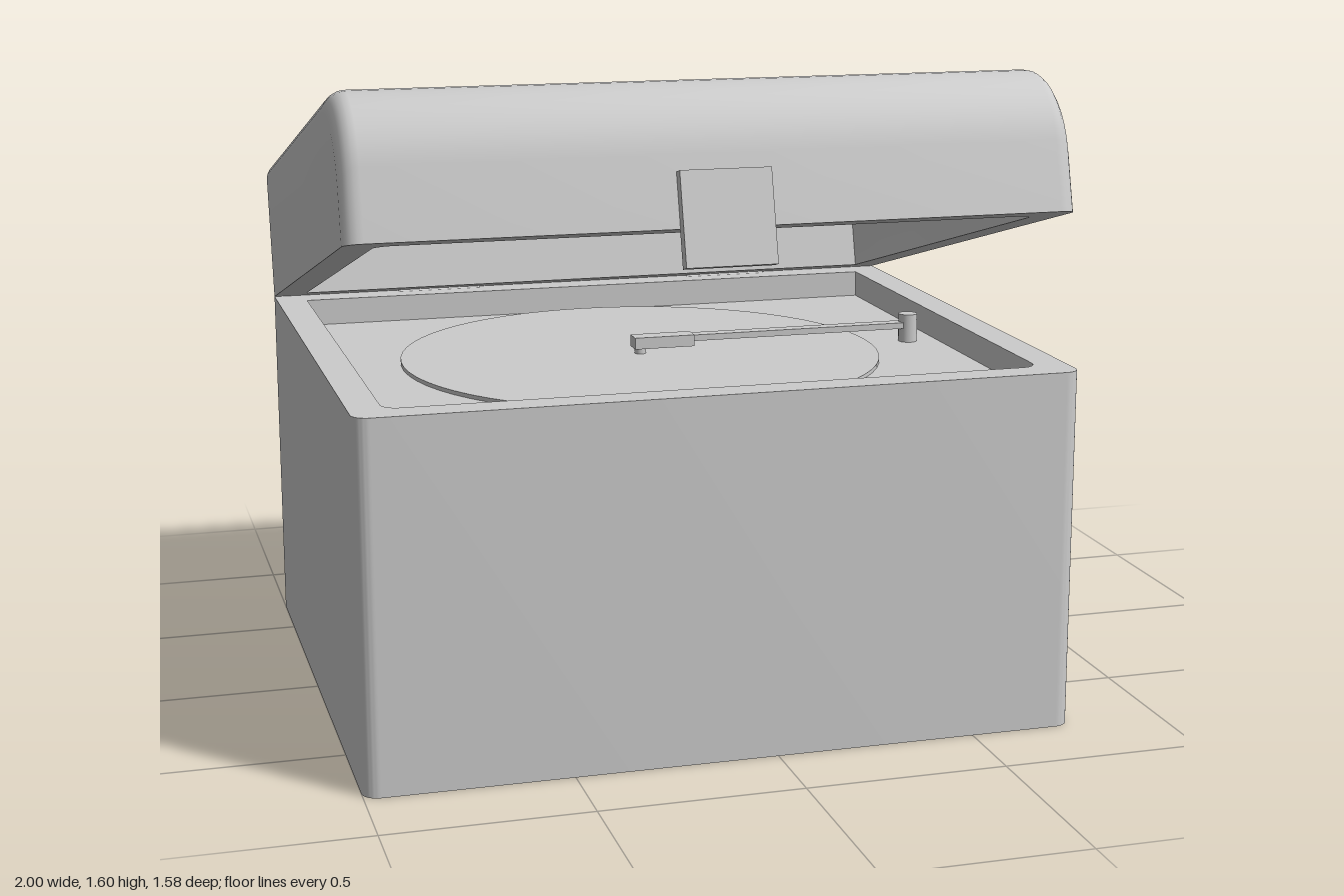
import * as THREE from 'three';
import { toCreasedNormals } from 'three/addons/utils/BufferGeometryUtils.js';

const material = new THREE.MeshStandardMaterial({ color: 0xcccccc });
const CX = -0.12, HALF = 0.88, WALL = 0.08; // case centre, half width, wall thickness

function add(parent, name, geometry, x = 0, y = 0, z = 0) {
  const mesh = new THREE.Mesh(geometry, material);
  mesh.name = name;
  mesh.position.set(x, y, z);
  parent.add(mesh);
  return mesh;
}

// Plan outline with the two front corners rounded (shape y = -z)
function plan(half, back, front, r, Type = THREE.Shape) {
  const s = new Type();
  s.moveTo(-half, -back);
  s.lineTo(-half, -front + r);
  s.absarc(-half + r, -front + r, r, Math.PI, Math.PI * 1.5, false);
  s.lineTo(half - r, -front);
  s.absarc(half - r, -front + r, r, -Math.PI / 2, 0, false);
  s.lineTo(half, -back);
  s.closePath();
  return s;
}

function upright(shape, height) {
  const g = new THREE.ExtrudeGeometry(shape, { depth: height, bevelEnabled: false, curveSegments: 6 });
  return toCreasedNormals(g.rotateX(-Math.PI / 2), 0.6);
}

// Lid skin: side profiles lofted across x, shrinking towards the rounded ends
function lidSkin(half, back, front, top, ru, rv, r, inward) {
  const steps = 5, rings = [];
  for (let i = 0; i <= steps; i++) {
    const a = (i / steps) * Math.PI / 2;
    rings.push([-half + r * (1 - Math.sin(a)), r * (1 - Math.cos(a))]);
  }
  rings.reverse();
  const left = rings.map(([x, d]) => [x, d]).reverse();
  left.sort((p, q) => p[0] - q[0]);
  const all = [...left, ...left.map(([x, d]) => [-x, d]).reverse()];
  const pos = [], index = [], arc = 10, n = arc + 4;
  for (const [x, d] of all) {
    pos.push(x, 0, back, x, top - d, back);
    for (let k = 0; k <= arc; k++) {
      const a = (k / arc) * Math.PI / 2;
      pos.push(x, top - rv - d + rv * Math.cos(a), front - ru - d + ru * Math.sin(a));
    }
    pos.push(x, 0, front - d);
  }
  const tri = (a, b, c) => (inward ? index.push(a, c, b) : index.push(a, b, c));
  for (let i = 0; i < all.length - 1; i++) {
    for (let j = 0; j < n - 1; j++) {
      const a = i * n + j, b = a + n;
      tri(a, a + 1, b);
      tri(a + 1, b + 1, b);
    }
  }
  const last = (all.length - 1) * n;
  for (let j = 1; j < n - 1; j++) {
    tri(0, j + 1, j);
    tri(last, last + j, last + j + 1);
  }
  const g = new THREE.BufferGeometry();
  g.setAttribute('position', new THREE.Float32BufferAttribute(pos, 3));
  g.setIndex(index);
  return toCreasedNormals(g, 0.6);
}

export function createModel() {
  const model = new THREE.Group();
  model.name = 'musicBox';

  // Case with a shallow tray
  const back = -0.69, front = 0.79;
  const walls = plan(HALF, back, front, 0.04);
  walls.holes.push(plan(HALF - WALL, back + WALL, front - WALL, 0.04, THREE.Path));
  add(model, 'caseWalls', upright(walls, 0.9), CX);
  add(model, 'caseFloor', upright(plan(HALF - WALL, back + WALL, front - WALL, 0.04), 0.83), CX);

  // Disc and the arm reaching over it
  add(model, 'disc', toCreasedNormals(new THREE.CylinderGeometry(0.62, 0.62, 0.01, 64), 0.6), -0.14, 0.835, 0.03);
  const arm = new THREE.Group();
  arm.name = 'arm';
  arm.position.set(0, 0, 0.03);
  model.add(arm);
  add(arm, 'armBar', new THREE.BoxGeometry(0.74, 0.016, 0.035), 0.23, 0.875, 0);
  add(arm, 'armHead', new THREE.BoxGeometry(0.16, 0.03, 0.05), -0.08, 0.87, 0);
  add(arm, 'armPost', new THREE.CylinderGeometry(0.025, 0.025, 0.075, 16), 0.6, 0.867, 0);
  add(arm, 'armSpindle', new THREE.CylinderGeometry(0.015, 0.015, 0.04, 16), -0.14, 0.855, 0);

  // Lid, hinged open at the back edge
  const lid = new THREE.Group();
  lid.name = 'lid';
  lid.position.set(CX, 0.9, back);
  lid.rotation.x = -THREE.MathUtils.degToRad(15);
  model.add(lid);
  add(lid, 'lidShell', lidSkin(HALF, 0, 1.48, 0.372, 0.2, 0.2, 0.045, false));
  add(lid, 'lidLining', lidSkin(HALF - WALL, WALL, 1.4, 0.35, 0.12, 0.18, 0.045, true));
  const rim = plan(HALF, 0, 1.48, 0.045);
  rim.holes.push(plan(HALF - WALL, WALL, 1.4, 0.045, THREE.Path));
  const rimGeometry = new THREE.ShapeGeometry(rim, 6).rotateX(-Math.PI / 2);
  // Mirror in x and turn over so the rim faces down
  rimGeometry.rotateZ(Math.PI);
  add(lid, 'lidRim', rimGeometry);
  add(lid, 'latch', new THREE.BoxGeometry(0.22, 0.225, 0.032), 0, 0.02, 1.493);

  // Hinge barrels
  for (const side of [-1, 1]) {
    const barrel = new THREE.CylinderGeometry(0.053, 0.053, 0.23, 20).rotateZ(Math.PI / 2);
    add(model, side > 0 ? 'leftHinge' : 'rightHinge', barrel, CX + side * 0.42, 0.857, -0.702);
  }

  // Winding key on the side
  const key = new THREE.Group();
  key.name = 'windingKey';
  key.position.set(0.76, 0.463, 0.02);
  model.add(key);
  const collar = [[0.066, 0], [0.07, 0.025], [0.076, 0.025], [0.088, 0.015], [0.088, 0]];
  const collarGeometry = new THREE.LatheGeometry(collar.map(([r, y]) => new THREE.Vector2(r, y)).reverse(), 20);
  const ring = add(key, 'keyCollar', toCreasedNormals(collarGeometry.rotateZ(-Math.PI / 2), 0.4));
  ring.material = material.clone();
  ring.material.side = THREE.DoubleSide;
  add(key, 'keyShaft', new THREE.BoxGeometry(0.14, 0.06, 0.022), 0.07, 0, 0);
  const wing = [[0.07, 0.03], [0.04, 0.12], [0.1, 0.215], [0.19, 0.205], [0.24, 0.095], [0.158, 0]];
  const outline = [...wing, ...wing.slice(0, -1).reverse().map(([x, y]) => [x, -y])];
  const wings = new THREE.Shape(outline.map(([x, y]) => new THREE.Vector2(x, y)));
  add(key, 'keyWings', new THREE.ExtrudeGeometry(wings, { depth: 0.02, bevelEnabled: false }), 0, 0, -0.01);

  return model;
}
